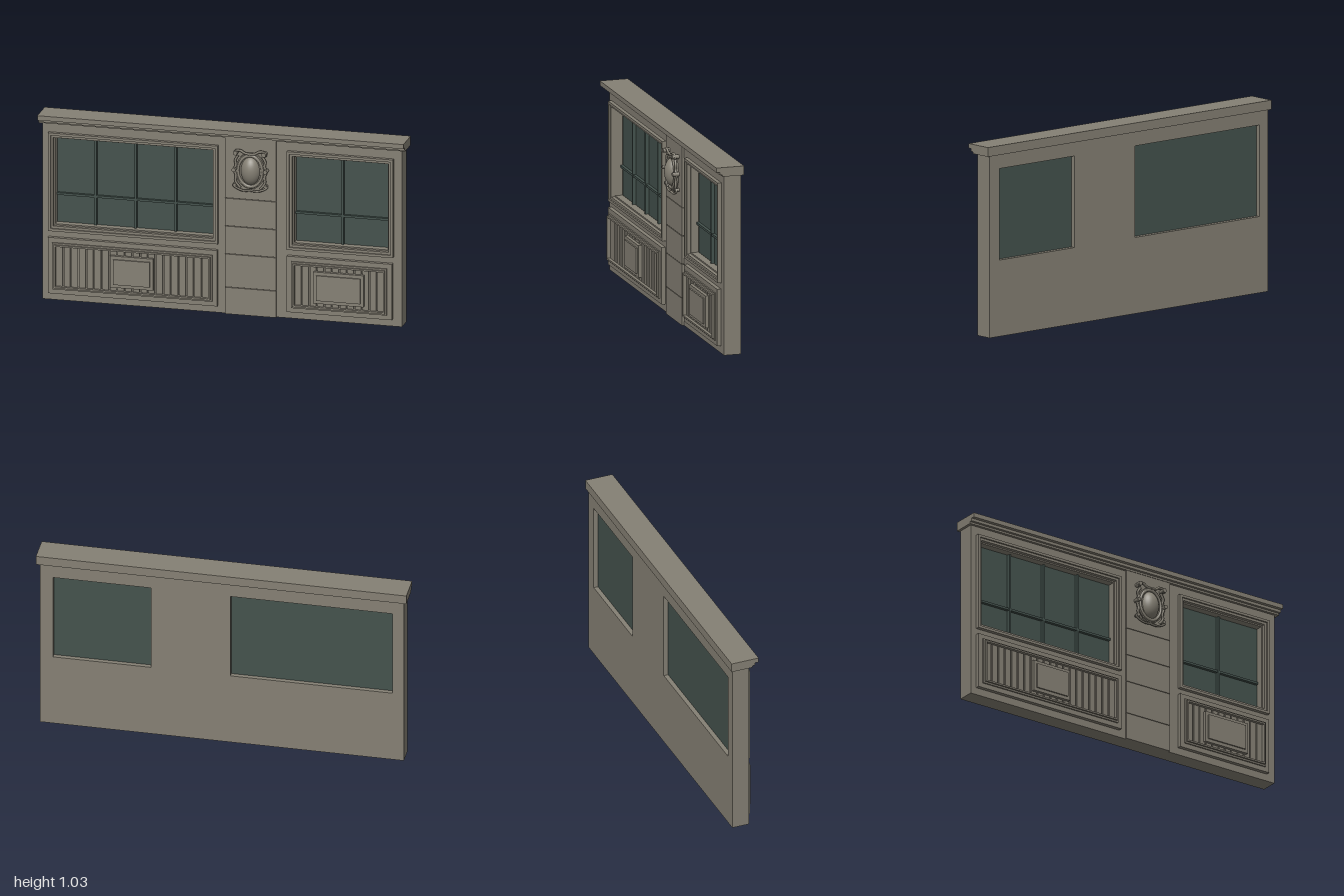
import * as THREE from 'three';

export function createModel() {
  const root = new THREE.Group();
  const stone = new THREE.MeshStandardMaterial({ color: 0x858074 });
  stone.name = 'warm grey paint';
  const glass = new THREE.MeshStandardMaterial({ color: 0x44524d });
  glass.name = 'dark green glass';

  const add = (parent, name, geo, mat = stone) => {
    const m = new THREE.Mesh(geo, mat);
    m.name = name;
    parent.add(m);
    return m;
  };
  const group = (name) => {
    const g = new THREE.Group();
    g.name = name;
    root.add(g);
    return g;
  };
  // Box given by its limits
  const box = (parent, name, [x0, y0, x1, y1], z0, z1, mat) =>
    add(parent, name, new THREE.BoxGeometry(x1 - x0, y1 - y0, z1 - z0), mat)
      .position.set((x0 + x1) / 2, (y0 + y1) / 2, (z0 + z1) / 2);
  const rectPoints = ([x0, y0, x1, y1]) =>
    [[x0, y0], [x1, y0], [x1, y1], [x0, y1]].map((p) => new THREE.Vector2(...p));
  // Upright slab with rectangular openings
  const slab = (parent, name, rect, holes, z0, z1) => {
    const s = new THREE.Shape(rectPoints(rect));
    holes.forEach((h) => s.holes.push(new THREE.Path(rectPoints(h).reverse())));
    const g = new THREE.ExtrudeGeometry(s, { depth: z1 - z0, bevelEnabled: false });
    add(parent, name, g.translate(0, 0, z0));
  };
  const inset = ([x0, y0, x1, y1], d) => [x0 + d, y0 + d, x1 - d, y1 - d];
  const frame = (parent, name, rect, w, z0, z1) => slab(parent, name, rect, [inset(rect, w)], z0, z1);

  const bays = [
    { side: 'right', win: [-0.95, 0.385, -0.022, 0.93], panes: 4, low: [-0.95, 0.04, -0.025, 0.35], mid: [-0.605, 0.105, -0.37, 0.28] },
    { side: 'left', win: [0.355, 0.385, 0.935, 0.93], panes: 2, low: [0.355, 0.04, 0.93, 0.35], mid: [0.505, 0.105, 0.78, 0.28] },
  ];

  // Wall with two window openings
  slab(root, 'wall', [-0.985, 0, 0.98, 0.98], bays.map((b) => inset(b.win, 0.026)), -0.075, 0.02);

  // Stepped cornice
  const profile = new THREE.Shape([[-0.085, 0.98], [0.035, 0.98], [0.035, 0.99], [0.05, 0.99],
    [0.05, 1.005], [0.07, 1.005], [0.07, 1.03], [-0.085, 1.03]].map((p) => new THREE.Vector2(...p)));
  add(root, 'cornice', new THREE.ExtrudeGeometry(profile, { depth: 2, bevelEnabled: false })
    .rotateY(-Math.PI / 2).translate(1, 0, 0));

  // Pilaster of stacked blocks with hairline joints
  const pilaster = group('pilaster');
  const joints = [0, 0.15, 0.335, 0.49, 0.645, 0.98];
  for (let i = 0; i < joints.length - 1; i++) {
    const top = joints[i + 1] - (i < joints.length - 2 ? 0.003 : 0);
    box(pilaster, 'pilasterBlock', [0.015, joints[i], 0.295, top], 0.015, 0.032);
  }

  for (const b of bays) {
    // Window: stepped frame, glass and glazing bars
    const w = group(b.side + 'Window');
    frame(w, 'outerFrame', b.win, 0.014, 0.01, 0.041);
    frame(w, 'innerFrame', inset(b.win, 0.014), 0.013, 0.01, 0.032);
    const open = inset(b.win, 0.026);
    frame(w, 'sash', open, 0.008, -0.03, 0.012);
    box(w, 'glass', open, -0.05, -0.034, glass);
    const [x0, y0, x1, y1] = open;
    for (let i = 1; i < b.panes; i++) {
      const x = x0 + ((x1 - x0) * i) / b.panes;
      box(w, 'glazingBar', [x - 0.006, y0, x + 0.006, y1], -0.036, -0.015, glass);
    }
    box(w, 'crossBar', [x0, 0.571, x1, 0.583], -0.036, -0.017, glass);

    // Lower panel: base, double moulding, slats and raised centre
    const p = group(b.side + 'Panel');
    frame(p, 'panelBorder', b.low, 0.034, 0.015, 0.042);
    const rim = inset(b.low, 0.026);
    frame(p, 'outerMoulding', rim, 0.012, 0.015, 0.05);
    frame(p, 'innerMoulding', inset(rim, 0.009), 0.009, 0.015, 0.06);
    const field = inset(rim, 0.016);
    box(p, 'panelField', field, 0.015, 0.034);
    const n = Math.round((field[2] - field[0]) / 0.042);
    const pitch = (field[2] - field[0]) / n;
    for (let i = 0; i < n; i++) {
      const x = field[0] + i * pitch;
      box(p, 'slat', [x + 0.004, field[1], x + pitch - 0.004, field[3]], 0.03, 0.043);
    }
    box(p, 'centrePanelBase', b.mid, 0.03, 0.06);
    box(p, 'centrePanelFace', inset(b.mid, 0.018), 0.03, 0.068);
  }

  // Oval medallion with scrolled surround
  const med = group('medallion');
  med.position.set(0.158, 0.808, 0.032);
  const oval = (rx, ry) => new THREE.Shape().absellipse(0, 0, rx, ry, 0, Math.PI * 2);
  add(med, 'backPlate', new THREE.ExtrudeGeometry(oval(0.08, 0.1), { depth: 0.016, bevelEnabled: false, curveSegments: 24 }));
  add(med, 'ovalRim', new THREE.TorusGeometry(0.066, 0.007, 8, 40)).scale.set(1, 1.3, 1);
  med.children[1].position.z = 0.018;
  add(med, 'dome', new THREE.SphereGeometry(1, 32, 20)).scale.set(0.054, 0.08, 0.053);

  const tube = (name, pts, r, z) => {
    const c = new THREE.CatmullRomCurve3(pts.map(([x, y]) => new THREE.Vector3(x, y, z)));
    add(med, name, new THREE.TubeGeometry(c, 28, r, 6));
  };
  const knob = (name, x, y, r, d) => {
    const g = new THREE.CylinderGeometry(r, r, d, 14).rotateX(Math.PI / 2);
    add(med, name, g).position.set(x, y, d / 2);
  };
  for (const s of [-1, 1]) {
    tube('sideScroll', [[s * 0.066, 0.085], [s * 0.082, 0.055], [s * 0.078, 0.03], [s * 0.088, 0.005],
      [s * 0.078, -0.03], [s * 0.08, -0.06], [s * 0.055, -0.095]], 0.007, 0.016);
    tube('topScroll', [[0, 0.095], [s * 0.03, 0.1], [s * 0.05, 0.112], [s * 0.078, 0.11], [s * 0.086, 0.094], [s * 0.07, 0.09]], 0.007, 0.022);
    tube('bottomScroll', [[0, -0.108], [s * 0.04, -0.11], [s * 0.07, -0.1], [s * 0.092, -0.085], [s * 0.085, -0.072]], 0.006, 0.016);
    knob('topCurl', s * 0.078, 0.1, 0.012, 0.038);
    knob('sideEar', s * 0.086, 0.006, 0.011, 0.038);
    knob('bottomCurl', s * 0.084, -0.08, 0.009, 0.026);
  }
  return root;
}
